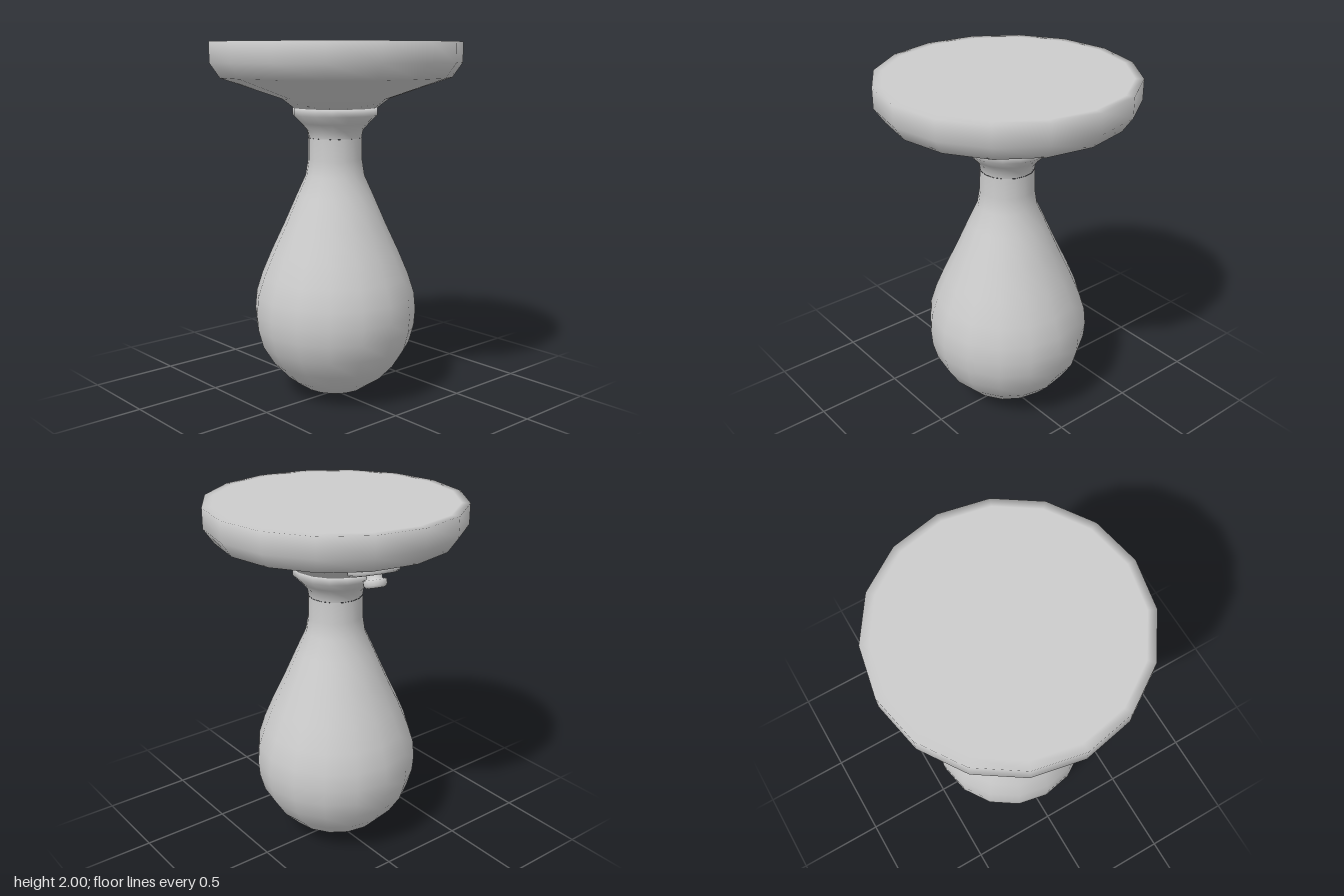
import * as THREE from 'three';

const SIDES = 16;
const material = new THREE.MeshStandardMaterial({ color: 0xcccccc });

// Smooth solid of revolution; profile runs from bottom to top as [radius, y]
function turned(name, profile, sides = SIDES) {
  const points = profile.map(([r, y]) => new THREE.Vector2(r, y));
  const mesh = new THREE.Mesh(new THREE.LatheGeometry(points, sides), material);
  mesh.name = name;
  return mesh;
}

export function createModel() {
  const model = new THREE.Group();
  model.name = 'speedBag';

  // Round mounting board with a sloped underside
  model.add(turned('platform', [
    [0, 1.645], [0.235, 1.645], [0.3, 1.695], [0.64, 1.81],
    [0.695, 1.89], [0.695, 2], [0.65, 2], [0, 2],
  ]));

  // Flared collar joining the board to the bag
  model.add(turned('collar', [
    [0.148, 1.48], [0.155, 1.52], [0.19, 1.56], [0.235, 1.605], [0.235, 1.645], [0, 1.645],
  ]));

  // Teardrop bag
  model.add(turned('bag', [
    [0, 0], [0.09, 0.014], [0.18, 0.05], [0.275, 0.115], [0.36, 0.205],
    [0.425, 0.31], [0.452, 0.41], [0.459, 0.5], [0.45, 0.6], [0.415, 0.71],
    [0.36, 0.84], [0.285, 1.0], [0.215, 1.16], [0.165, 1.27], [0.151, 1.36], [0.15, 1.48],
  ]));

  // Small valve set square to the underside slope
  const valve = new THREE.Group();
  valve.name = 'valve';
  valve.add(
    turned('valveFlange', [[0, -0.01], [0.115, -0.01], [0.132, 0], [0.132, 0.02], [0, 0.02]]),
    turned('valveKnob', [[0, -0.075], [0.048, -0.075], [0.06, -0.062], [0.06, -0.035], [0.04, -0.03], [0.04, 0]]),
  );
  valve.position.set(-0.437, 1.737, -0.1);
  const outward = new THREE.Vector3(-0.437, 0, -0.1).normalize();
  const normal = outward.multiplyScalar(0.32).setY(-0.95).normalize();
  valve.quaternion.setFromUnitVectors(new THREE.Vector3(0, -1, 0), normal);
  model.add(valve);

  return model;
}
